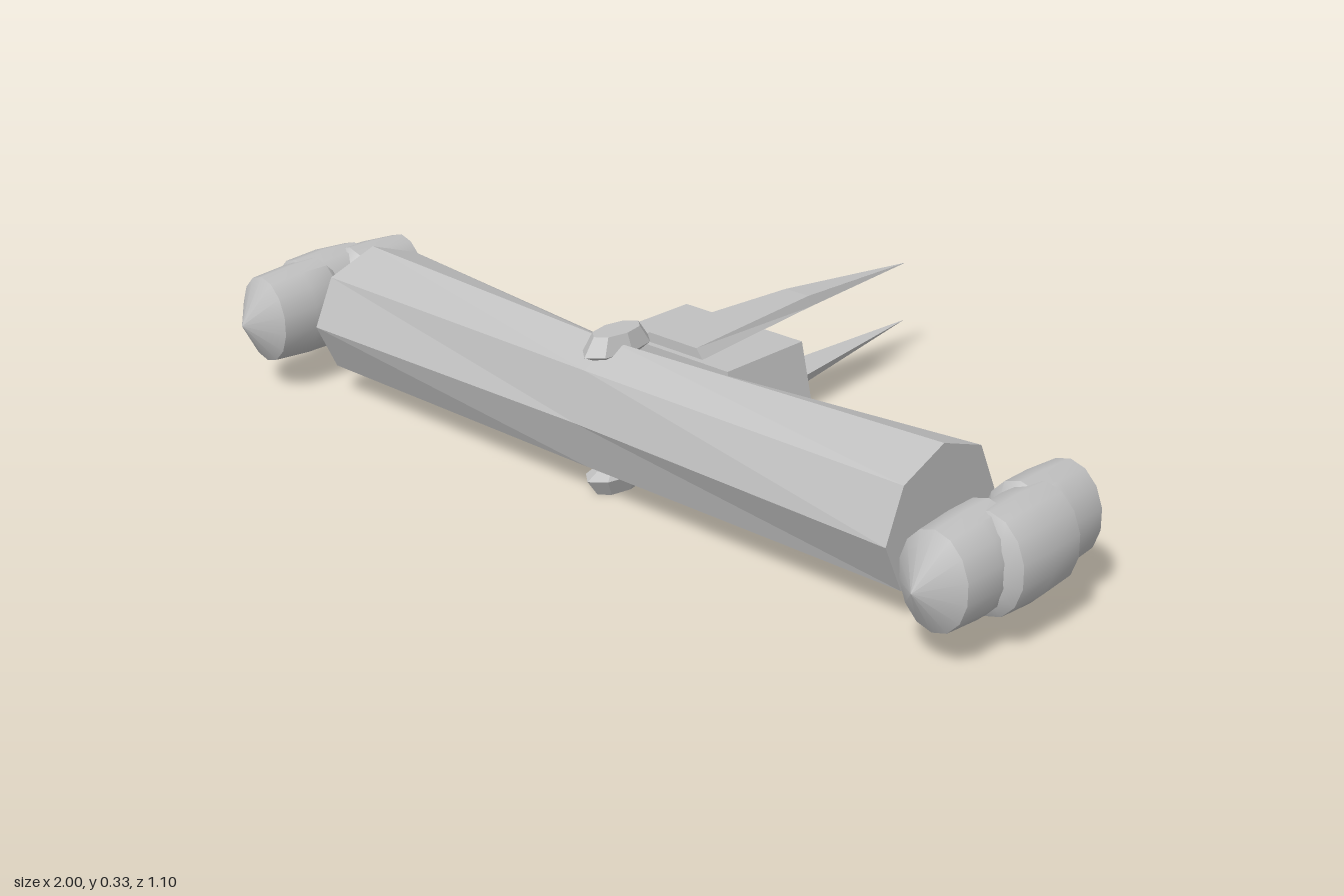
import * as THREE from 'three';
import { toCreasedNormals } from 'three/addons/utils/BufferGeometryUtils.js';

const MID_Y = 0.1645;

// Flat-faced skin through rings that run counter-clockwise seen from the far end
function loft(rings) {
  const pos = [];
  const n = rings[0].length;
  const tri = (a, b, c) => pos.push(...a, ...b, ...c);
  for (let i = 0; i < rings.length - 1; i++) {
    const p = rings[i], q = rings[i + 1];
    for (let j = 0; j < n; j++) {
      const k = (j + 1) % n;
      tri(p[j], p[k], q[k]);
      tri(p[j], q[k], q[j]);
    }
  }
  const first = rings[0], last = rings[rings.length - 1];
  for (let j = 1; j < n - 1; j++) {
    tri(first[0], first[j + 1], first[j]);
    tri(last[0], last[j], last[j + 1]);
  }
  const g = new THREE.BufferGeometry();
  g.setAttribute('position', new THREE.Float32BufferAttribute(pos, 3));
  g.computeVertexNormals();
  return g;
}

// Revolved shape from [radius, height] pairs
function lathe(points, sides) {
  return new THREE.LatheGeometry(points.map(([r, h]) => new THREE.Vector2(r, h)), sides);
}

export function createModel() {
  const model = new THREE.Group();
  const grey = new THREE.MeshStandardMaterial({ color: 0xc0c0c0 });
  grey.name = 'hullGrey';

  const add = (name, geometry, x = 0, y = 0, z = 0, parent = model) => {
    const m = new THREE.Mesh(geometry, grey);
    m.name = name;
    m.position.set(x, y, z);
    parent.add(m);
    return m;
  };

  // Octagonal crossbar hull, pinched in the middle
  const hullRing = (x, zc, rz, skew) => Array.from({ length: 8 }, (_, i) => {
    const a = (i * Math.PI) / 4;
    return [x + skew * Math.sin(a), 0.1685 + 0.14 * Math.cos(a), zc + rz * Math.sin(a)];
  });
  add('hull', loft([
    hullRing(-0.76, 0.303, 0.158, -0.004),
    hullRing(0, 0.35, 0.097, 0),
    hullRing(0.76, 0.303, 0.158, 0.004),
  ]));

  // Rear block with sloping sides
  const blockRing = (z) => [[-0.19, 0.09, z], [0.19, 0.09, z], [0.157, 0.24, z], [-0.157, 0.24, z]];
  add('rearBlock', loft([blockRing(-0.025), blockRing(0.192)]));

  // Tapering tail spikes above and below the block
  const spikeRing = (z, w, low, high) => [[-w, low, z], [w, low, z], [w * 0.8, high, z], [-w * 0.8, high, z]];
  const spike = loft([
    spikeRing(-0.545, 0.0005, 0.0665, 0.067),
    spikeRing(-0.19, 0.039, 0.074, 0.095),
    spikeRing(0.18, 0.08, 0.076, 0.096),
  ]);
  add('upperSpike', spike, 0, MID_Y);
  add('lowerSpike', spike, 0, MID_Y).rotation.z = Math.PI;

  // Faceted turrets on the top and bottom of the hull
  const turret = toCreasedNormals(
    lathe([[0, 0.1], [0.7, 0.115], [1, 0.128], [0.7, 0.163], [0, 0.163]], 8).scale(0.043, 1, 0.085), 0.1);
  add('topTurret', turret, 0, MID_Y, 0.333);
  add('bottomTurret', turret, 0, MID_Y, 0.333).rotation.x = Math.PI;

  // End pods: two pointed capsules and a drum set outward between them
  const capsule = toCreasedNormals(
    lathe([[0, 0.02], [0.75, 0.02], [1, 0.045], [1, 0.11], [0.94, 0.19], [0, 0.249]], 14)
      .rotateX(Math.PI / 2).scale(0.077, 0.1, 1), 0.75);
  const drum = toCreasedNormals(
    lathe([[0, -0.1], [0.62, -0.1], [0.95, -0.08], [1, 0], [0.95, 0.08], [0.62, 0.1], [0, 0.1]], 14)
      .rotateX(Math.PI / 2).scale(0.08, 0.102, 1), 0.75);
  for (const [side, s] of [['left', 1], ['right', -1]]) {
    const pod = new THREE.Group();
    pod.name = side + 'Pod';
    pod.position.set(s * 0.893, MID_Y, 0.307);
    add('frontCapsule', capsule, 0, 0, 0, pod);
    add('rearCapsule', capsule, 0, 0, 0, pod).rotation.y = Math.PI;
    add('drum', drum, s * 0.027, 0, 0, pod);
    model.add(pod);
  }
  return model;
}
